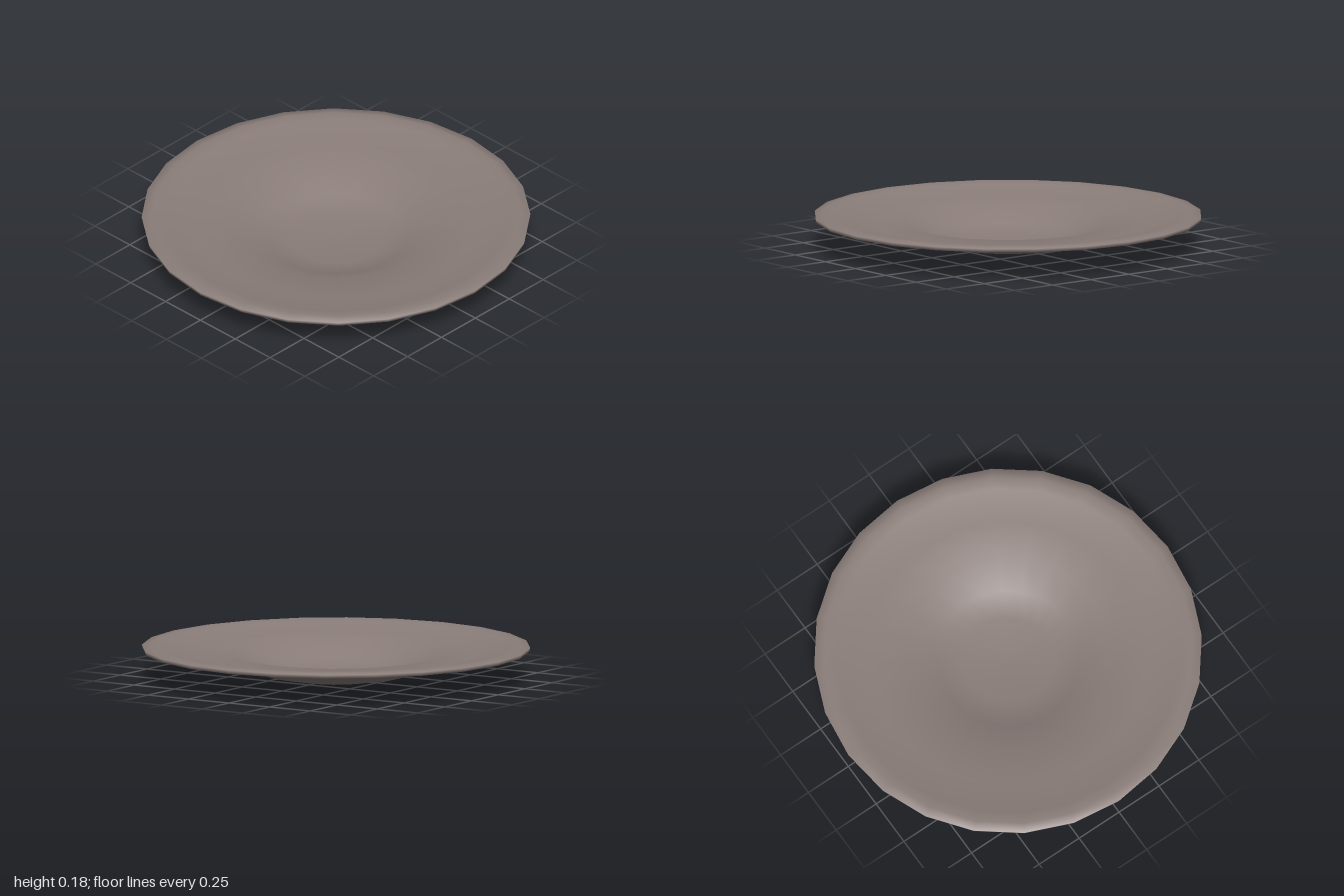
import * as THREE from 'three';

export function createModel() {
  const group = new THREE.Group();
  group.name = 'plate';

  // Closed cross-section: underside centre -> rim -> upper surface centre
  const profile = [
    // underside
    [0, 0], [0.23, 0.004], [0.38, 0.032], [0.545, 0.11], [0.73, 0.11], [0.9, 0.152],
    // rim edge
    [0.995, 0.15], [1, 0.17], [0.95, 0.178],
    // upper surface
    [0.89, 0.17], [0.72, 0.135], [0.53, 0.132], [0.37, 0.056], [0.23, 0.028], [0, 0.024],
  ].map(([r, y]) => new THREE.Vector2(r, y));

  const dish = new THREE.Mesh(
    new THREE.LatheGeometry(profile, 24),
    new THREE.MeshStandardMaterial({ color: 0x8a7d79 })
  );
  dish.name = 'dish';
  group.add(dish);

  return group;
}
